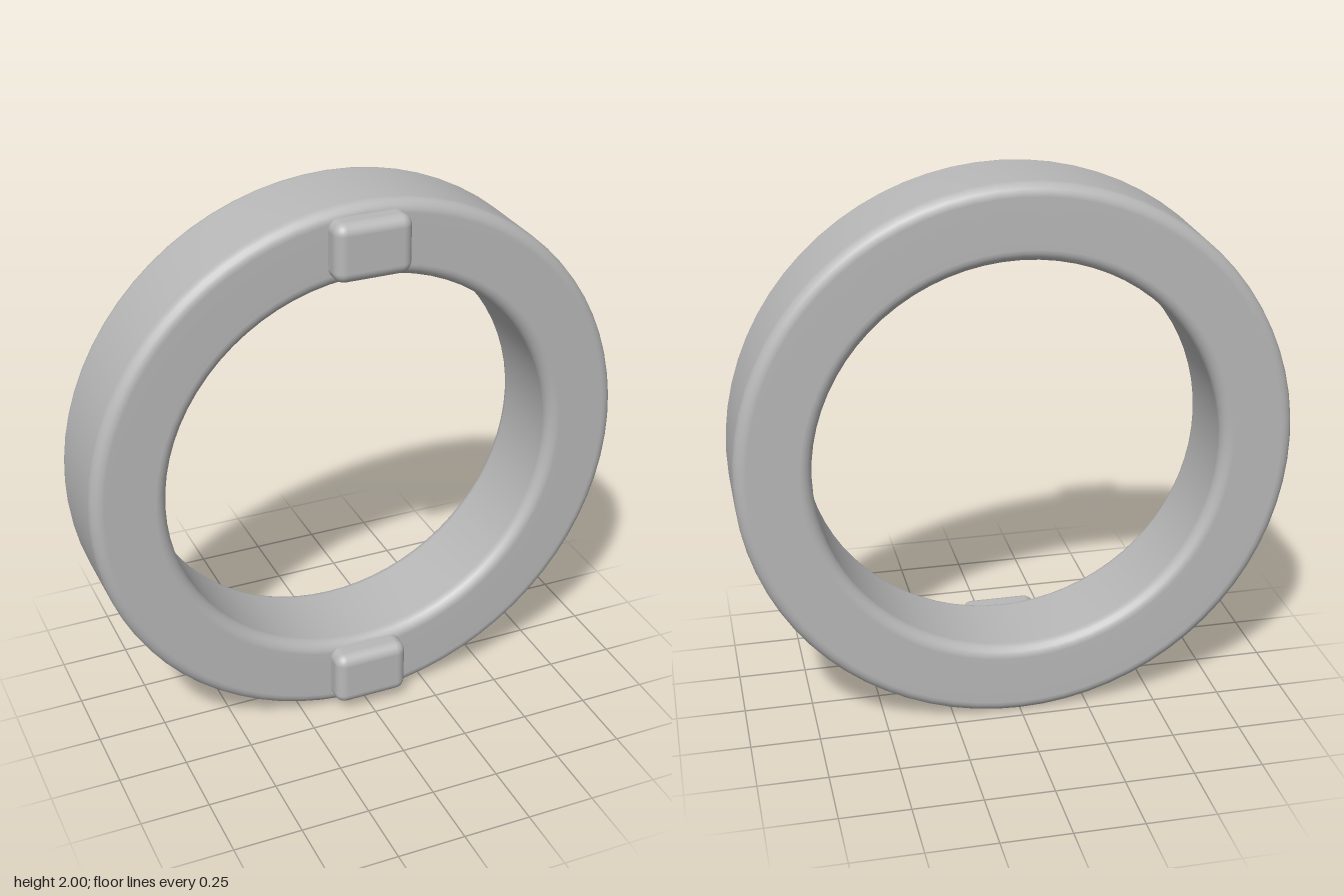
import * as THREE from 'three';
import { RoundedBoxGeometry } from 'three/addons/geometries/RoundedBoxGeometry.js';

const OUTER = 1, INNER = 0.73, FRONT = 0.15, BACK = -0.225, ROUND = 0.045;

// Closed ring section: a rectangle with rounded corners, walked counter-clockwise
function ringProfile() {
  const points = [new THREE.Vector2(OUTER, (FRONT + BACK) / 2)];
  const corners = [
    [OUTER - ROUND, FRONT - ROUND],
    [INNER + ROUND, FRONT - ROUND],
    [INNER + ROUND, BACK + ROUND],
    [OUTER - ROUND, BACK + ROUND],
  ];
  corners.forEach(([r, z], i) => {
    for (let k = 0; k <= 5; k++) {
      const a = (i + k / 5) * Math.PI / 2;
      points.push(new THREE.Vector2(r + ROUND * Math.cos(a), z + ROUND * Math.sin(a)));
    }
  });
  points.push(points[0].clone());
  return points;
}

export function createModel() {
  const model = new THREE.Group();
  model.name = 'ringWithTabs';
  const grey = new THREE.MeshStandardMaterial({ color: 0xb8b8b8 });
  grey.name = 'plain grey';

  // Upright ring, its axis along z
  const ringGeometry = new THREE.LatheGeometry(ringProfile(), 72);
  ringGeometry.rotateX(Math.PI / 2);
  const ring = new THREE.Mesh(ringGeometry, grey);
  ring.name = 'ring';
  ring.position.y = 1;
  model.add(ring);

  // Rounded tabs at the top and bottom of the front face, sunk into the ring
  const tabGeometry = new RoundedBoxGeometry(0.28, 0.21, 0.15, 4, 0.04);
  for (const [name, y] of [['topTab', 1.86], ['bottomTab', 0.15]]) {
    const tab = new THREE.Mesh(tabGeometry, grey);
    tab.name = name;
    tab.position.set(0, y, 0.15);
    model.add(tab);
  }
  return model;
}
